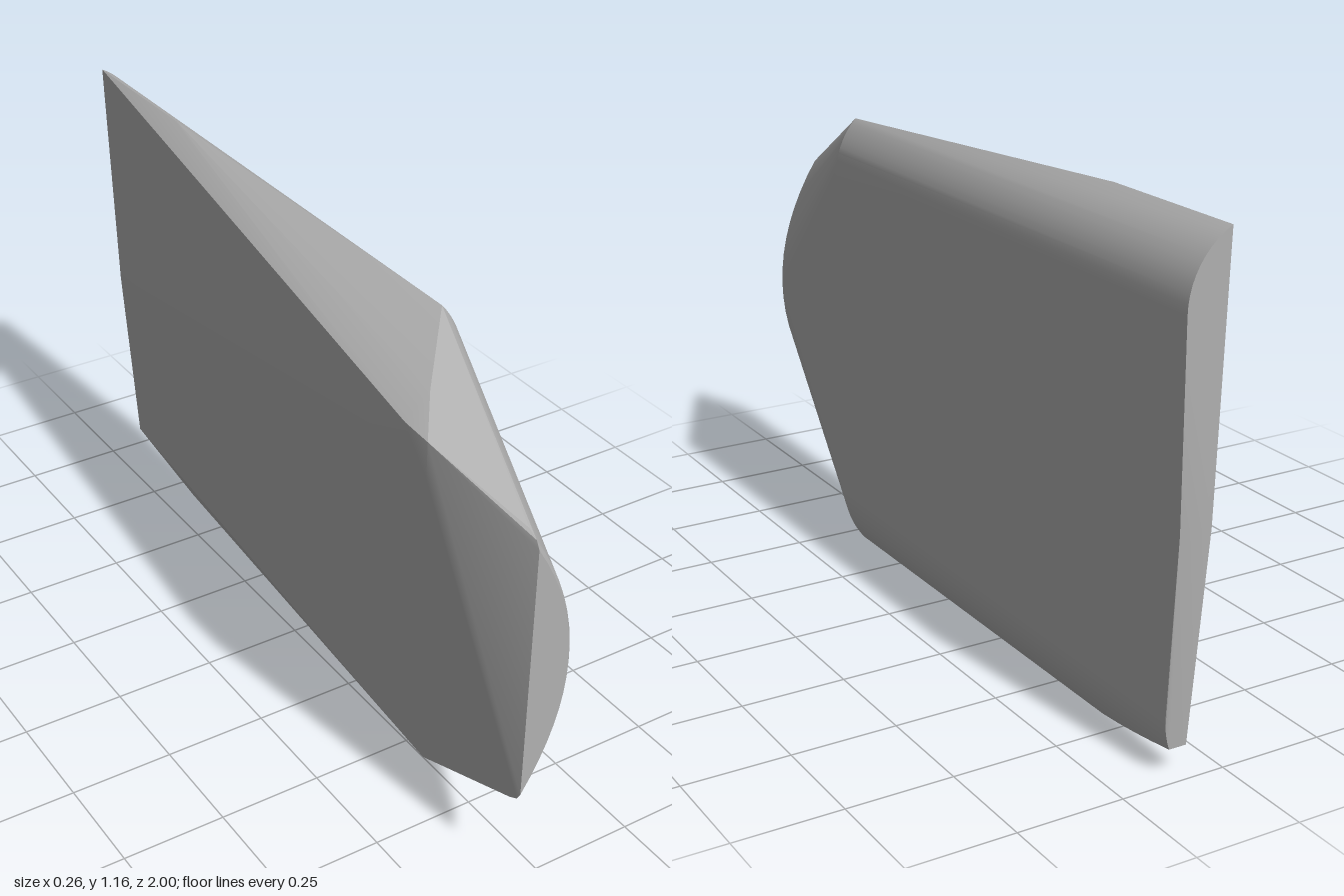
import * as THREE from 'three';
import { toCreasedNormals } from 'three/addons/utils/BufferGeometryUtils.js';
import { ConvexGeometry } from 'three/addons/geometries/ConvexGeometry.js';

const v = (x, y, z) => new THREE.Vector3(x, y, z);

// points of a rounded long edge, from the flat outer side (t = 0) inwards
function edgeArc(centreY, dir, radius, maxAngle, steps, place) {
  const points = [];
  for (let i = 0; i <= steps; i++) {
    const a = (maxAngle * i) / steps;
    points.push(place(0.13 - radius * (1 - Math.cos(a)), centreY + dir * radius * Math.sin(a), i / steps));
  }
  return points;
}

// bowed outline of the nose, from its bottom corner to its top corner
function noseArc(halfHeight, bulge, z, steps = 16) {
  const points = [];
  for (let i = 0; i <= steps; i++) {
    const t = (2 * i) / steps - 1;
    points.push(v(-0.06 + bulge * (1 - t * t), 0.557 + halfHeight * t, z));
  }
  return points;
}

export function createModel() {
  const group = new THREE.Group();
  const grey = new THREE.MeshStandardMaterial({ color: 0xb0b0b0 });
  grey.name = 'plain grey';

  const points = [
    // rounded top edge: full at the back, cut shorter at the front
    ...edgeArc(1.0, 1, 0.186, 1.09, 10, (x, y) => v(x, y, -1)),
    ...edgeArc(1.0, 1, 0.182, 0.71, 8, (x, y, t) => v(x, y, 0.47 - 0.02 * t)),
    v(0.03, 1.165, -0.6),
    // rounded bottom edge
    ...edgeArc(0.13, -1, 0.21, 0.667, 8, (x, y, t) => v(x, y, 0.47 - 0.02 * t)),
    ...edgeArc(0.13, -1, 0.21, 0.667, 8, (x, y, t) => v(x, y, -0.972 + 0.292 * Math.max(0, (t - 0.5) * 2))),
    // back end
    v(0.13, 0.55, -1), v(0.053, 0.55, -1), v(0.078, 0.063, -0.975),
    // inner side: upper peak and lower corner
    v(-0.06, 1.043, 0.62), v(-0.134, 1.0, 0.64), v(-0.134, 0.995, 0.72), v(-0.134, 0.91, 0.72),
    v(-0.06, 0.088, 0.65),
    // nose with a softened rim
    ...noseArc(0.315, 0.1, 1),
    ...noseArc(0.333, 0.109, 0.99),
    ...noseArc(0.347, 0.113, 0.965),
    v(-0.06, 0.92, 0.91),
  ];

  const hull = new ConvexGeometry(points);
  const slab = new THREE.Mesh(toCreasedNormals(hull, 0.3), grey);
  slab.name = 'bevelledSlab';
  group.add(slab);
  return group;
}
